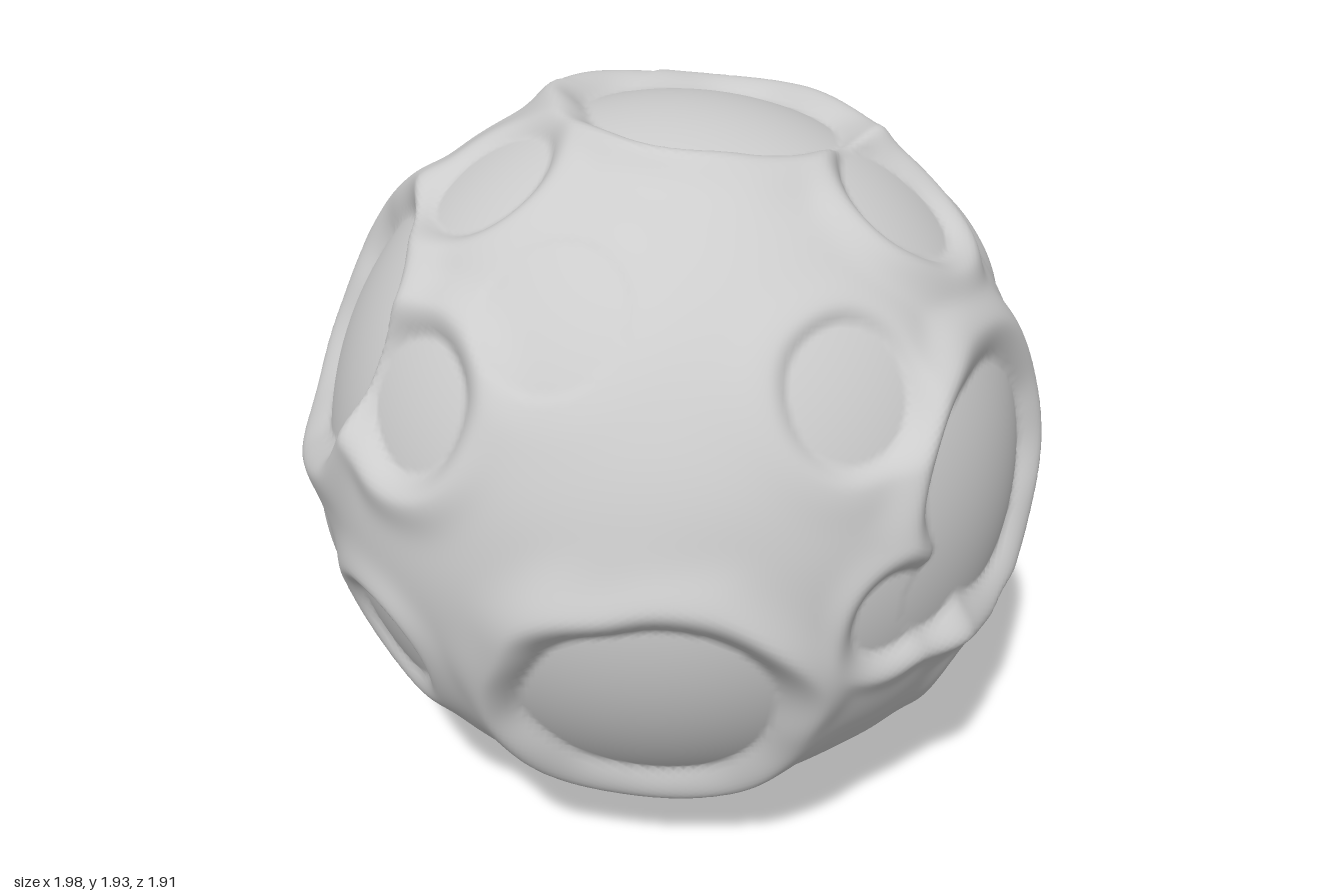
import * as THREE from 'three';
import { mergeVertices } from 'three/addons/utils/BufferGeometryUtils.js';

const BASE = 0.953;
// The ball sits slightly off the middle of its outline
const CENTRE = new THREE.Vector3(-0.018, 0, -0.018);

// Craters: position x, y, z, then radius, depth and rim height
const toCraters = (list) => list.map(([x, y, z, r, depth, rim]) => ({
  dir: new THREE.Vector3(x, y, z).sub(CENTRE).normalize(), r: r / 0.91, floor: BASE - depth, rim,
}));

const deepCraters = toCraters([
  [0.52, 0.1, 0.71, 0.3, 0.034, 0.04],
  [0.29, -0.09, 0.85, 0.11, 0.034, 0],
  [0.15, -0.1, 0.9, 0.115, 0.032, 0.015],
  [-0.43, -0.35, 0.74, 0.315, 0.034, 0.04],
  [0.1, 0.91, -0.03, 0.318, 0.034, 0.04],
  [0.82, 0.25, -0.34, 0.31, 0.034, 0.04],
  [-0.81, 0.38, -0.24, 0.31, 0.034, 0.04],
  [0.02, 0.02, -0.92, 0.3, 0.034, 0.04],
  [-0.22, -0.29, -0.84, 0.16, 0.034, 0.03],
  [-0.22, 0.2, -0.86, 0.15, 0.03, 0.02],
  [-0.28, -0.79, -0.37, 0.31, 0.034, 0.04],
  // Middle-sized craters
  [0.42, 0.75, 0.38, 0.17, 0.02, 0.028],
  [0.56, -0.44, 0.57, 0.15, 0.018, 0.018],
  [-0.83, 0.39, 0.27, 0.16, 0.022, 0.025],
  [-0.5, 0.78, -0.03, 0.165, 0.02, 0.015],
  [0.06, 0.47, 0.8, 0.16, 0.015, 0.008],
  [-0.74, -0.31, -0.4, 0.17, 0.02, 0.018],
  [0.14, -0.9, -0.1, 0.13, 0.022, 0.025],
  [0.92, -0.17, -0.02, 0.15, 0.015, 0.01],
  [-0.87, -0.31, 0.15, 0.14, 0.018, 0.018],
  [0.55, -0.02, -0.73, 0.13, 0.014, 0.01],
  [0.32, -0.75, -0.45, 0.09, 0.018, 0.01],
]);

const shallowCraters = toCraters([
  [-0.31, -0.81, 0.34, 0.13, 0.012, 0.006],
  [0.47, 0.57, -0.54, 0.08, 0.013, 0.007],
  [-0.56, 0.07, -0.71, 0.085, 0.013, 0.007],
  [-0.09, 0.72, -0.58, 0.28, 0.005, 0.003],
  [-0.31, 0.47, -0.74, 0.1, 0.008, 0.003],
  [0.81, -0.42, -0.03, 0.12, 0.013, 0.006],
  [0.6, -0.36, -0.6, 0.11, 0.012, 0.006],
  [0.61, -0.53, -0.45, 0.11, 0.009, 0.004],
  [0.5, -0.5, -0.59, 0.1, 0.009, 0.004],
  [0.58, -0.69, 0.08, 0.18, 0.028, 0],
  [0.84, -0.21, 0.36, 0.13, 0.009, 0.003],
  [-0.52, 0.62, 0.44, 0.18, 0.005, 0.002],
  [0.15, -0.7, 0.57, 0.12, 0.009, 0.003],
]);

function smoothMin(a, b, k) {
  const h = Math.max(k - Math.abs(a - b), 0) / k;
  return Math.min(a, b) - h * h * k / 4;
}

// Gentle repeatable unevenness in about -1..1
function wobble(p, f, s) {
  return (Math.sin(p.x * f + s + 1.7 * Math.sin(p.y * f * 0.8 + s))
    + Math.sin(p.y * f * 1.1 + 2 * s + 1.5 * Math.sin(p.z * f * 0.9))
    + Math.sin(p.z * f * 0.95 + 3 * s + 1.6 * Math.sin(p.x * f * 0.85))) / 3;
}

function addCraters(ground, p, craters, blend) {
  const edge = wobble(p, 14, 1.3);
  const near = [];
  // Raised rims; overlapping rims combine without piling up
  let sumSquares = 0;
  for (const c of craters) {
    const d = p.distanceTo(c.dir) + 0.06 * c.r * edge;
    if (d > c.r + 0.5) continue;
    near.push([c, d]);
    const width = 0.05 + 0.12 * c.r;
    const t = (d - c.r - 0.07 * Math.min(1, c.r / 0.2)) / width;
    const h = c.rim * (1 + 0.35 * wobble(p, 9, 4.2)) * Math.exp(-t * t);
    sumSquares += h * h;
  }
  ground += Math.sqrt(sumSquares);
  // Sloping walls down to smooth round floors
  for (const [c, d] of near) {
    const wall = c.floor + 1.2 * (d - c.r);
    ground = Math.min(ground, Math.max(c.floor, smoothMin(ground, wall, blend)));
  }
  return ground;
}

function surfaceRadius(p) {
  const plain = BASE + 0.005 * wobble(p, 4, 0.6) + 0.002 * wobble(p, 11, 2.1);
  const pitted = addCraters(plain, p, shallowCraters, 0.01);
  return addCraters(pitted, p, deepCraters, 0.04);
}

export function createModel() {
  const group = new THREE.Group();
  group.name = 'asteroid';
  const stone = new THREE.MeshStandardMaterial({ color: 0xcccccc });
  stone.name = 'grey stone';

  // Fine round ball pushed in and out by the crater rule
  let geometry = new THREE.IcosahedronGeometry(1, 74);
  geometry.deleteAttribute('uv');
  geometry.deleteAttribute('normal');
  geometry = mergeVertices(geometry, 1e-5);
  const pos = geometry.attributes.position;
  const p = new THREE.Vector3();
  for (let i = 0; i < pos.count; i++) {
    p.fromBufferAttribute(pos, i).normalize();
    p.multiplyScalar(surfaceRadius(p)).add(CENTRE);
    pos.setXYZ(i, p.x, p.y, p.z);
  }
  geometry.computeBoundingBox();
  geometry.translate(0, -geometry.boundingBox.min.y, 0);
  geometry.computeVertexNormals();

  const rock = new THREE.Mesh(geometry, stone);
  rock.name = 'crateredRock';
  group.add(rock);
  return group;
}
